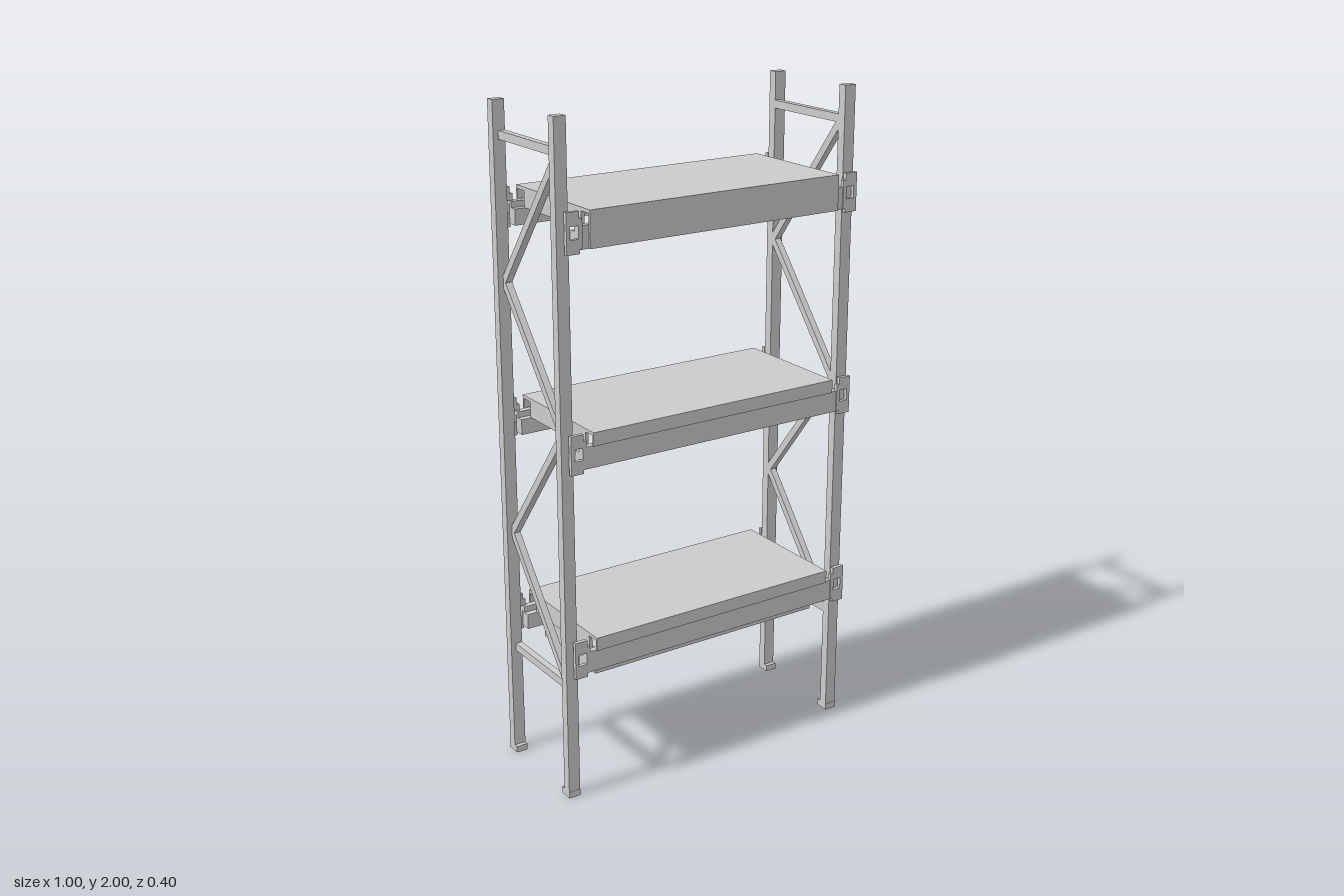
import * as THREE from 'three';

const material = new THREE.MeshStandardMaterial({ color: 0xcccccc, flatShading: true });

function add(parent, name, geometry) {
  const mesh = new THREE.Mesh(geometry, material);
  mesh.name = name;
  parent.add(mesh);
  return mesh;
}

// Box given by its limits on each axis
function box(parent, name, x0, x1, y0, y1, z0, z1) {
  const mesh = add(parent, name, new THREE.BoxGeometry(x1 - x0, y1 - y0, z1 - z0));
  mesh.position.set((x0 + x1) / 2, (y0 + y1) / 2, (z0 + z1) / 2);
  return mesh;
}

function rectangle(PathType, x0, x1, y0, y1) {
  return new PathType([[x0, y0], [x1, y0], [x1, y1], [x0, y1]].map(p => new THREE.Vector2(...p)));
}

// End frame: two posts with feet, joined by zigzag bracing
function createFrame(side) {
  const frame = new THREE.Group();
  frame.name = side > 0 ? 'leftFrame' : 'rightFrame';
  const outer = side > 0 ? 0.495 : -0.5;
  const inner = outer - side * 0.037;
  const x0 = Math.min(outer, inner), x1 = Math.max(outer, inner);
  for (const s of [1, -1]) {
    const zs = (a, b) => [Math.min(s * a, s * b), Math.max(s * a, s * b)];
    box(frame, 'post', x0, x1, 0, 2, ...zs(0.151, 0.179));
    box(frame, 'foot', x0, x1, 0, 0.02, ...zs(0.138, 0.18));
  }
  const braceX = inner + side * 0.0105;
  for (const y of [1.903, 0.352]) {
    box(frame, 'crossBar', braceX - 0.0105, braceX + 0.0105, y - 0.012, y + 0.012, -0.155, 0.155);
  }
  const zigzag = [1.89, 1.49, 1.12, 0.73, 0.35];
  for (let i = 0; i < 4; i++) {
    const a = new THREE.Vector3(braceX, zigzag[i], i % 2 ? -0.152 : 0.152);
    const b = new THREE.Vector3(braceX, zigzag[i + 1], i % 2 ? 0.152 : -0.152);
    const brace = add(frame, 'diagonalBrace', new THREE.BoxGeometry(0.021, 0.022, a.distanceTo(b)));
    brace.position.copy(a).add(b).multiplyScalar(0.5);
    brace.lookAt(b);
  }
  return frame;
}

// Beam connector: notched plate with a window
function connectorGeometry() {
  const shape = new THREE.Shape([
    [0, 0], [0.04, 0], [0.04, 0.012], [0.049, 0.012], [0.049, 0.066],
    [0.049, 0.095], [0.04, 0.095], [0.04, 0.115], [0, 0.115],
  ].map(p => new THREE.Vector2(...p)));
  shape.holes.push(rectangle(THREE.Path, 0.011, 0.037, 0.04, 0.076));
  return new THREE.ExtrudeGeometry(shape, { depth: 0.012, bevelEnabled: false });
}

// Shelf: tray deck on two stepped beams, with connectors at the ends
function createShelf(top) {
  const shelf = new THREE.Group();
  shelf.name = 'shelf';
  shelf.position.set(0.01, top, 0);
  box(shelf, 'deck', -0.418, 0.418, -0.01, 0, -0.199, 0.199);
  for (const x of [-0.413, 0, 0.413]) {
    box(shelf, 'deckRib', x - 0.005, x + 0.005, -0.058, -0.005, -0.155, 0.155);
  }
  for (const s of [1, -1]) {
    const skirt = box(shelf, 'deckLip', -0.418, 0.418, -0.04, -0.005, 0.193, 0.199);
    const beam = box(shelf, 'beam', -0.45, 0.45, -0.105, -0.058, 0.152, 0.192);
    const step = box(shelf, 'beamStep', -0.45, 0.45, -0.06, -0.04, 0.172, 0.192);
    for (const mesh of [skirt, beam, step]) mesh.position.z *= s;
    for (const e of [1, -1]) {
      const plate = add(shelf, 'connector', connectorGeometry());
      // Turned half a revolution on the left so the window stays near the outer edge
      plate.rotation.y = e > 0 ? Math.PI : 0;
      plate.position.set(e * 0.488, -0.115, s * 0.189 + e * 0.006);
    }
  }
  return shelf;
}

export function createModel() {
  const model = new THREE.Group();
  model.name = 'storageRack';
  model.add(createFrame(1), createFrame(-1));

  const [topShelf, , bottomShelf] = [1.75, 1.13, 0.505].map(y => {
    const shelf = createShelf(y);
    model.add(shelf);
    return shelf;
  });

  // Deep front fascia on the top shelf
  box(topShelf, 'fascia', -0.418, 0.418, -0.105, -0.005, 0.192, 0.199);

  // Panel under the bottom shelf, with a round recess below
  const panel = rectangle(THREE.Shape, -0.395, 0.395, -0.148, 0.148);
  const hole = new THREE.Path();
  hole.absarc(-0.01, 0, 0.143, 0, Math.PI * 2, true);
  panel.holes.push(hole);
  const under = add(bottomShelf, 'underPanel',
    new THREE.ExtrudeGeometry(panel, { depth: 0.08, bevelEnabled: false, curveSegments: 32 }));
  under.rotation.x = -Math.PI / 2;
  under.position.y = -0.142;
  box(bottomShelf, 'recessCover', -0.395, 0.395, -0.062, -0.056, -0.148, 0.148);
  return model;
}
